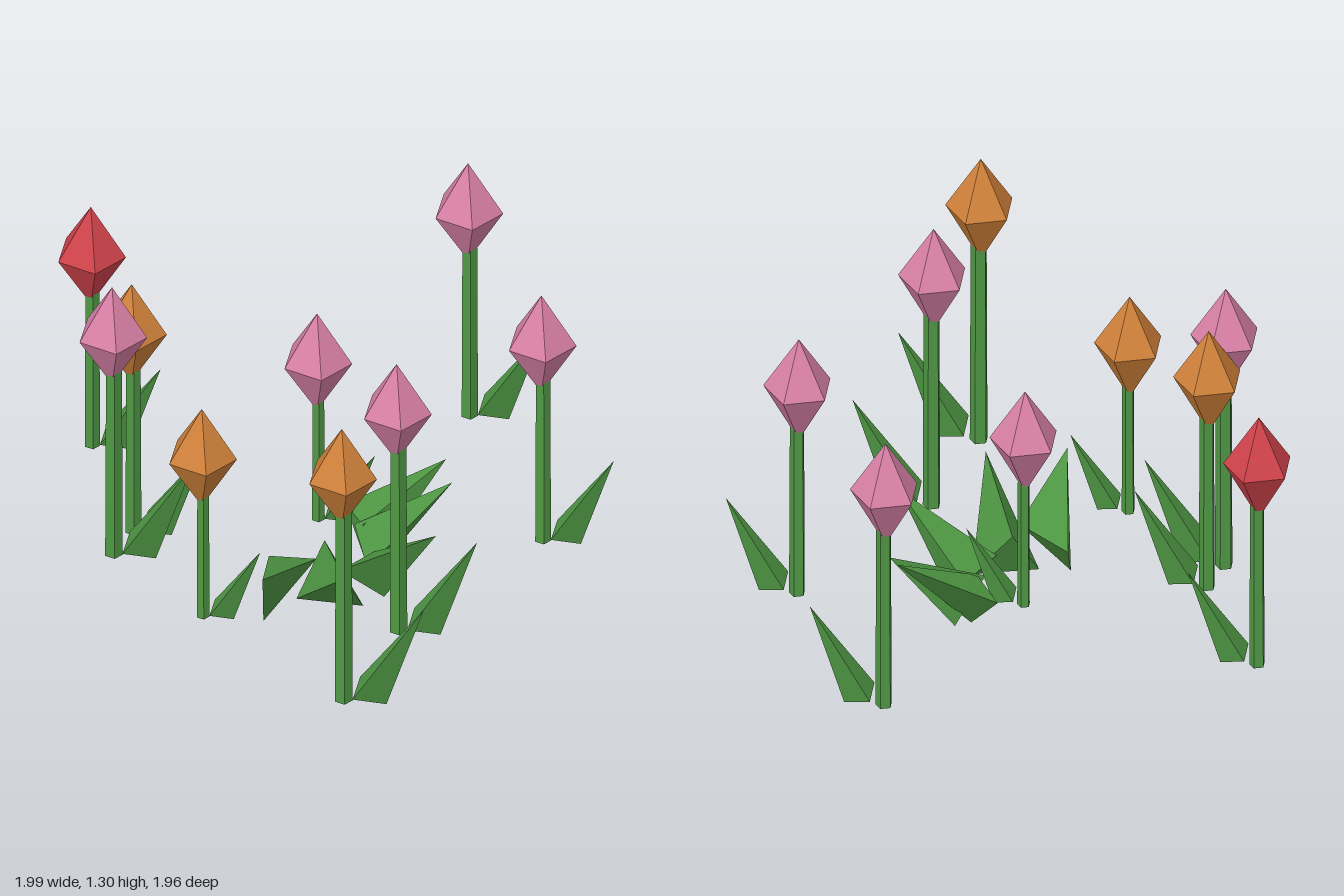
import * as THREE from 'three';
import { ConvexGeometry } from 'three/addons/geometries/ConvexGeometry.js';

const mat = (name, color) => {
  const m = new THREE.MeshStandardMaterial({ color, flatShading: true });
  m.name = name;
  return m;
};

export function createModel() {
  const model = new THREE.Group();
  model.name = 'tulipPatch';

  const green = mat('leafGreen', 0x4f9844);
  const pink = mat('petalPink', 0xd880a6);
  const orange = mat('petalOrange', 0xd0813a);
  const red = mat('petalRed', 0xd0434b);

  const add = (parent, name, geometry, material) => {
    const mesh = new THREE.Mesh(geometry, material);
    mesh.name = name;
    parent.add(mesh);
    return mesh;
  };
  // four-cornered leaf: tip, two upper base corners, lower ridge corner
  const leafGeometry = (points) => new ConvexGeometry(points.map((p) => new THREE.Vector3(...p)));

  // five-sided bud, one corner towards +x
  const budGeometry = new THREE.LatheGeometry(
    [[0, -0.215], [0.124, 0], [0, 0.198]].map(([r, y]) => new THREE.Vector2(r, y)), 5, Math.PI / 2);

  // stem and its leaf, scaled together with the height of the flower
  const STEM = 0.845;
  const BASE = 0.145;
  const stemGeometry = new THREE.CylinderGeometry(0.026, 0.029, STEM - 0.08, 5, 1, false, Math.PI / 2);
  stemGeometry.translate(0.005, (STEM - 0.08) / 2, 0);
  const stemLeafGeometry = leafGeometry(
    [[0.255, 0.37, 0], [0.045, 0.047, 0.06], [0.045, 0.047, -0.06], [0.139, 0, 0]]);

  // x, z, height of the bud's widest ring, colour
  const flowers = [
    [-0.9, -0.44, 0.963, red],
    [-0.705, 0.175, 1.085, pink],
    [-0.664, 0.03, 1.0, orange],
    [-0.33, 0.475, 0.83, orange],
    [-0.048, -0.163, 0.823, pink],
    [0.24, 0.865, 1.102, orange],
    [0.348, 0.428, 1.083, pink],
    [0.348, -0.863, 1.022, pink],
    [0.738, -0.19, 0.99, pink],
  ];
  for (const [x, z, height, petal] of flowers) {
    const flower = new THREE.Group();
    flower.name = 'flower';
    flower.position.set(x, BASE, z);
    const s = (height - BASE) / STEM;
    add(flower, 'stem', stemGeometry, green).scale.setScalar(s);
    add(flower, 'stemLeaf', stemLeafGeometry, green).scale.setScalar(s);
    add(flower, 'bud', budGeometry, petal).position.y = height - BASE;
    model.add(flower);
  }

  // loose clump of broad leaves in the middle
  const clump = new THREE.Group();
  clump.name = 'leafClump';
  const clumpLeaves = [
    [[-0.107, 0.36, 0.52], [-0.16, 0.18, 0.133], [0.02, 0.24, 0.2], [-0.15, 0.01, 0.284]],
    [[0.17, 0.36, 0.46], [0.03, 0.25, 0.1], [-0.05, 0.06, 0.2], [0.18, 0.04, 0.17]],
    [[0.435, 0.37, 0.165], [0.18, 0.13, -0.03], [0.09, 0.15, 0.13], [0.23, 0, 0.05]],
    [[0.38, 0.36, -0.3], [0.04, 0.18, -0.22], [0.13, 0.2, -0.08], [0.15, 0.005, -0.084]],
    [[0.42, 0.33, -0.21], [0.1, 0.2, -0.08], [0.16, 0.08, 0], [0.2, 0.02, -0.137]],
  ];
  for (const points of clumpLeaves) add(clump, 'broadLeaf', leafGeometry(points), green);
  model.add(clump);

  return model;
}
